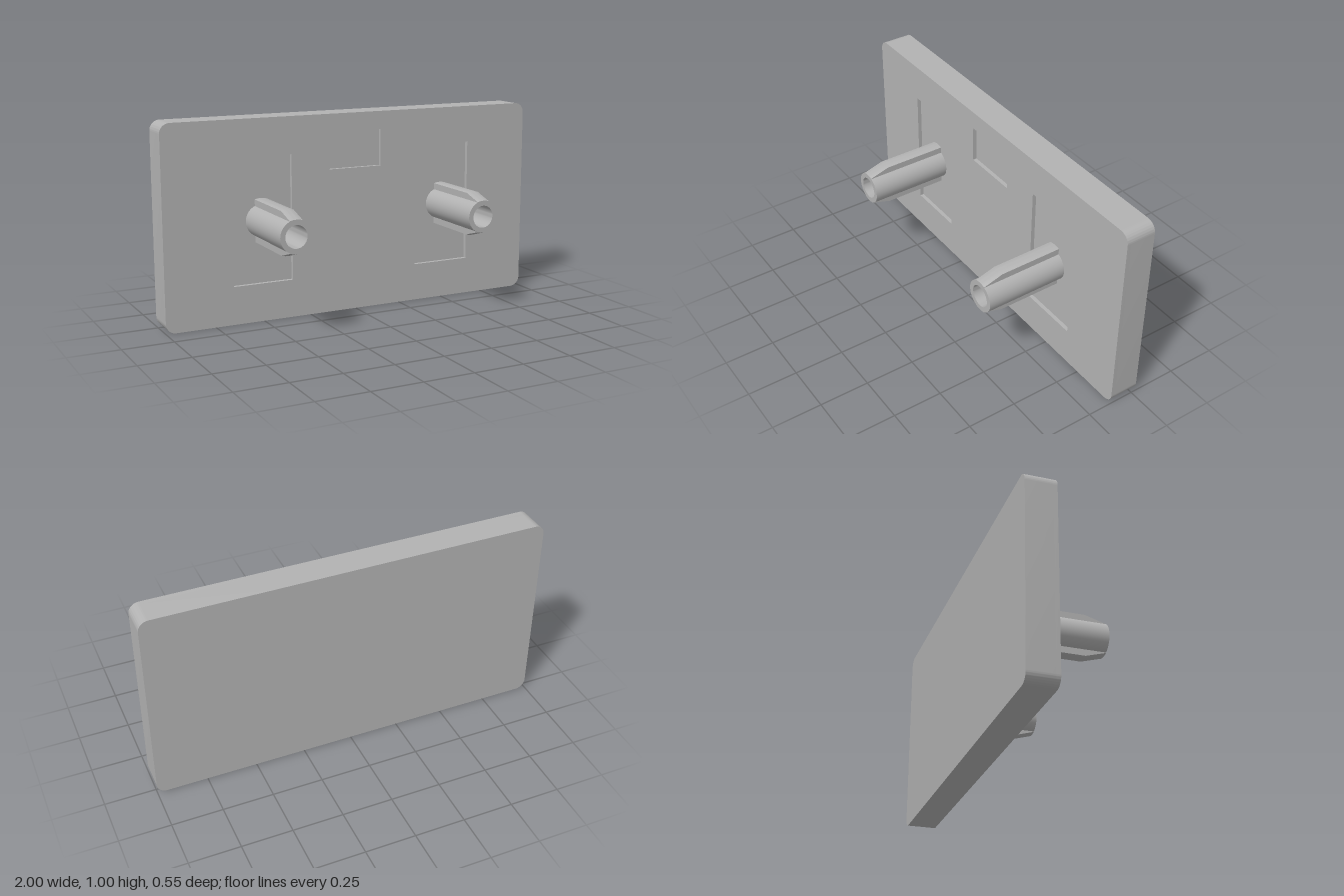
import * as THREE from 'three';
import { toCreasedNormals } from 'three/addons/utils/BufferGeometryUtils.js';

const BACK = -0.275, FACE = -0.125, TIP = 0.275;
const FLOOR = FACE - 0.02; // bottom of the shallow pockets
const PEG_X = 0.5, PEG_Y = 0.5, PEG_R = 0.08, BORE_R = 0.055;
const RIB_R = 0.11, RIB_HALF = 0.032, TAPER_START = 0.175;

const grey = new THREE.MeshStandardMaterial({ color: 0xb2b2b2 });
grey.name = 'grey plastic';

function part(name, geometry) {
  const mesh = new THREE.Mesh(toCreasedNormals(geometry, 0.5), grey);
  mesh.name = name;
  return mesh;
}

// Rounded outline of the plate
function plateShape() {
  const r = 0.05, s = new THREE.Shape();
  s.absarc(1 - r, r, r, -Math.PI / 2, 0);
  s.absarc(1 - r, 1 - r, r, 0, Math.PI / 2);
  s.absarc(-1 + r, 1 - r, r, Math.PI / 2, Math.PI);
  s.absarc(-1 + r, r, r, Math.PI, Math.PI * 1.5);
  s.closePath();
  return s;
}

function rectHole(x0, x1, y0, y1) {
  return new THREE.Path([
    new THREE.Vector2(x0, y0), new THREE.Vector2(x0, y1),
    new THREE.Vector2(x1, y1), new THREE.Vector2(x1, y0),
  ]);
}

function slab(shape, z0, z1) {
  return new THREE.ExtrudeGeometry(shape, { depth: z1 - z0, bevelEnabled: false, curveSegments: 10 })
    .translate(0, 0, z0);
}

// Hollow round peg along z
function pegGeometry() {
  const profile = [[PEG_R, FLOOR], [PEG_R, TIP], [BORE_R, TIP], [BORE_R, FLOOR]]
    .map(([r, z]) => new THREE.Vector2(r, z));
  return new THREE.LatheGeometry(profile, 48).rotateX(Math.PI / 2);
}

// Rib with a curved crest, sloping down to the peg at its tip
function ribGeometry() {
  const a = Math.asin(RIB_HALF / RIB_R), base = 0.068;
  const s = new THREE.Shape();
  s.moveTo(-RIB_HALF, base);
  s.lineTo(RIB_HALF, base);
  s.absarc(0, 0, RIB_R, Math.PI / 2 - a, Math.PI / 2 + a);
  s.closePath();
  const g = new THREE.ExtrudeGeometry(s, { depth: 2, steps: 2, bevelEnabled: false, curveSegments: 8 });
  const p = g.attributes.position, rings = [FLOOR, TAPER_START, TIP];
  for (let i = 0; i < p.count; i++) {
    const ring = Math.round(p.getZ(i));
    if (ring === 2 && p.getY(i) > base + 0.01) p.setY(i, p.getY(i) - (RIB_R - PEG_R));
    p.setZ(i, rings[ring]);
  }
  g.computeVertexNormals();
  return g;
}

export function createModel() {
  const model = new THREE.Group();
  model.name = 'pegPlate';

  // Plate: solid back and a front layer with three pockets
  model.add(part('plateBack', slab(plateShape(), BACK, FLOOR)));
  const front = plateShape();
  front.holes.push(
    rectHole(-0.655, -0.345, 0.19, 0.815),
    rectHole(0.345, 0.655, 0.19, 0.815),
    rectHole(-0.143, 0.143, 0.725, 0.91),
  );
  model.add(part('plateFront', slab(front, FLOOR, FACE)));

  // Two ribbed pegs
  for (const [side, sx] of [['left', 1], ['right', -1]]) {
    const peg = new THREE.Group();
    peg.name = side + 'Peg';
    peg.position.set(sx * PEG_X, PEG_Y, 0);
    peg.add(part('tube', pegGeometry()));
    peg.add(part('upperRib', ribGeometry()));
    peg.add(part('lowerRib', ribGeometry().rotateZ(Math.PI)));
    model.add(peg);
  }
  return model;
}
